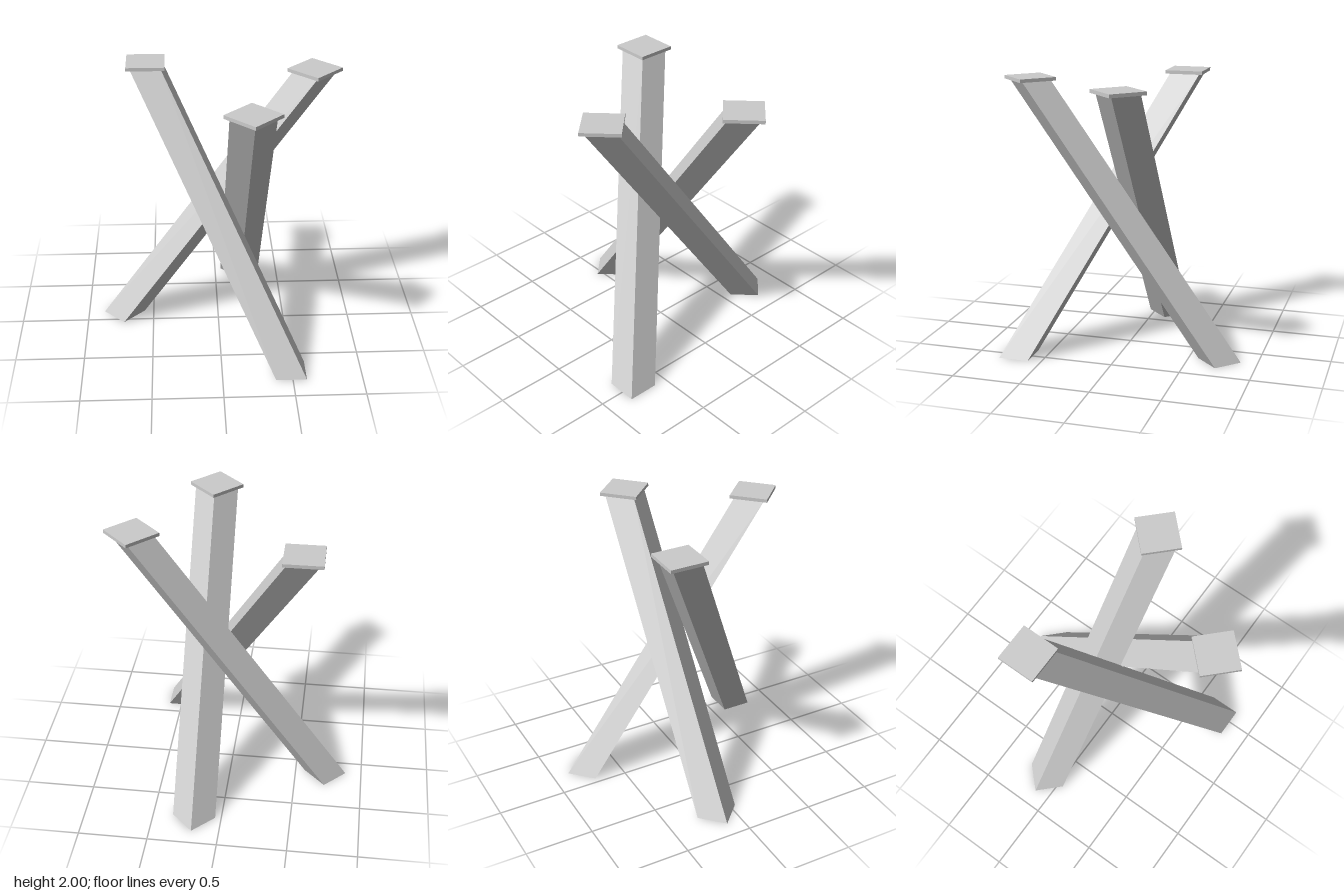
import * as THREE from 'three';

const TOP = 1.975;        // height where the beams meet their caps
const CAP = 2 - TOP;      // cap thickness
const BEAM = 0.22;        // side of the beam's level cross-section
const PLATE = 0.276;      // side of the cap

const material = new THREE.MeshStandardMaterial({ color: 0xcccccc, flatShading: true });

// A leaning square beam cut level at both ends, with a flat cap on top
function makeLeg(name, foot, head, turn) {
  const leg = new THREE.Group();
  leg.name = name;

  const beamGeo = new THREE.BoxGeometry(BEAM, TOP, BEAM);
  beamGeo.rotateY(turn);
  beamGeo.translate(0, TOP / 2, 0);
  const pos = beamGeo.attributes.position;
  for (let i = 0; i < pos.count; i++) {
    // Slide each level section along the line from foot to head
    const t = pos.getY(i) / TOP;
    pos.setX(i, pos.getX(i) + THREE.MathUtils.lerp(foot[0], head[0], t));
    pos.setZ(i, pos.getZ(i) + THREE.MathUtils.lerp(foot[1], head[1], t));
  }
  beamGeo.computeVertexNormals();
  const beam = new THREE.Mesh(beamGeo, material);
  beam.name = name + 'Beam';

  const cap = new THREE.Mesh(new THREE.BoxGeometry(PLATE, CAP, PLATE), material);
  cap.name = name + 'Cap';
  cap.position.set(head[0], TOP + CAP / 2, head[1]);
  cap.rotation.y = turn;

  leg.add(beam, cap);
  return leg;
}

export function createModel() {
  const model = new THREE.Group();
  model.name = 'crossedLegBase';
  // Foot and head centres are given as [x, z]
  model.add(
    makeLeg('sidewaysLeg', [-0.725, -0.115], [0.685, -0.115], Math.PI / 4),
    makeLeg('forwardLeg', [0.2, -0.725], [0.2, 0.685], Math.PI / 4),
    makeLeg('diagonalLeg', [0.49, 0.707], [-0.51, -0.297], 0)
  );
  return model;
}
